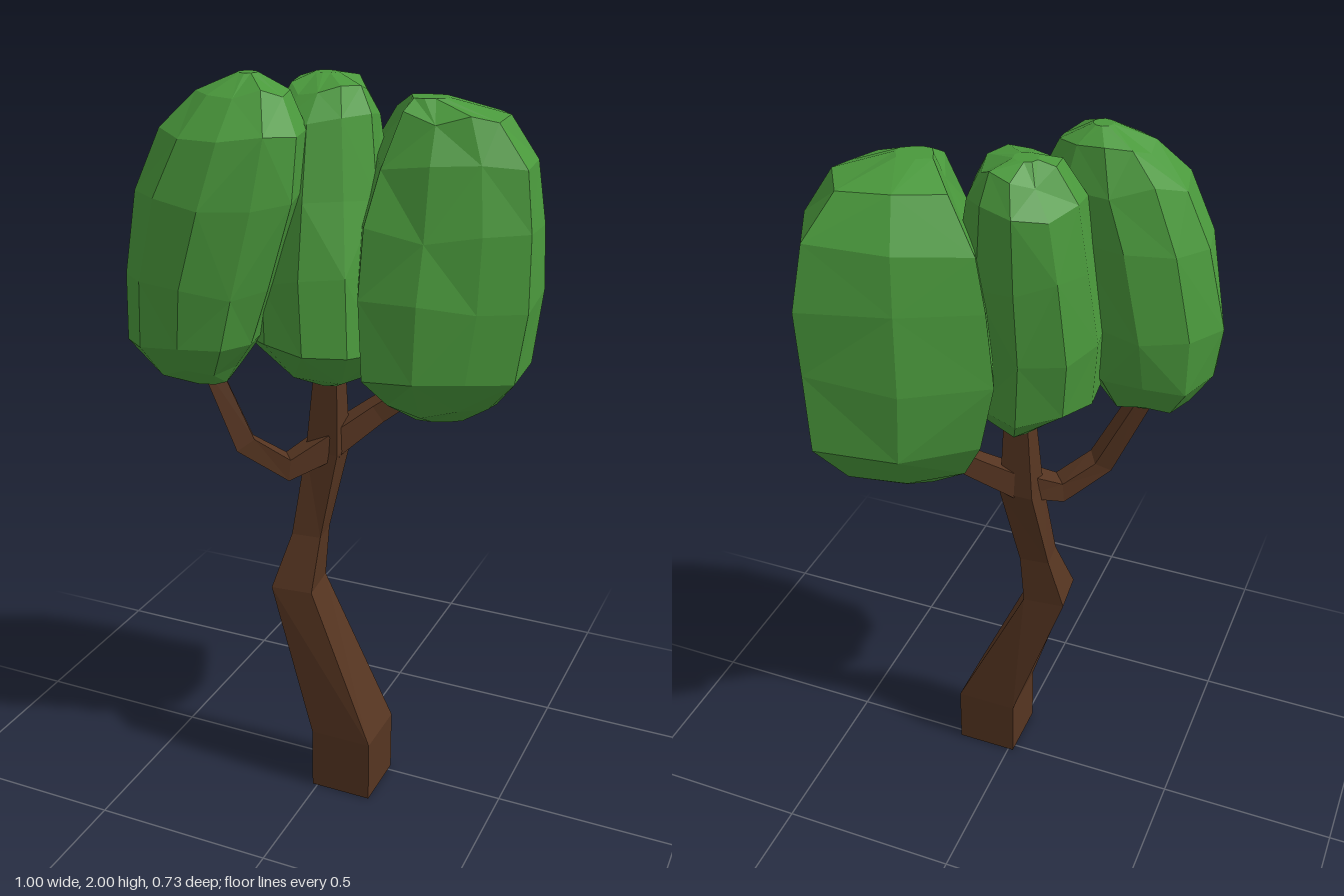
import * as THREE from 'three';

const bark = new THREE.MeshStandardMaterial({ color: 0x563521, flatShading: true });
const leaf = new THREE.MeshStandardMaterial({ color: 0x4a993c, flatShading: true });

// Small seeded generator, returns -1..1
function seeded(seed) {
  let s = seed;
  return () => {
    s = (s * 16807) % 2147483647;
    return (s / 2147483647) * 2 - 1;
  };
}

// Skin a stack of rings (arrays of Vector3) into a closed faceted surface
function skin(name, rings, material) {
  const pos = [];
  const tri = (a, b, c) => [a, b, c].forEach((p) => pos.push(p.x, p.y, p.z));
  const n = rings[0].length;
  const centre = (r) => r.reduce((s, p) => s.add(p), new THREE.Vector3()).divideScalar(n);
  const first = rings[0], last = rings[rings.length - 1];
  const c0 = centre(first), c1 = centre(last);
  for (let j = 0; j < n; j++) {
    const k = (j + 1) % n;
    tri(c0, first[j], first[k]);
    tri(c1, last[k], last[j]);
    for (let i = 0; i < rings.length - 1; i++) {
      const a = rings[i][j], b = rings[i][k], c = rings[i + 1][j], d = rings[i + 1][k];
      if ((i + j) % 2) { tri(a, c, b); tri(b, c, d); }
      else { tri(a, c, d); tri(a, d, b); }
    }
  }
  const geo = new THREE.BufferGeometry();
  geo.setAttribute('position', new THREE.Float32BufferAttribute(pos, 3));
  geo.computeVertexNormals();
  const mesh = new THREE.Mesh(geo, material);
  mesh.name = name;
  return mesh;
}

// Trunk sections: y, centre x, centre z, half width, half depth, twist
function trunk(sections) {
  return skin('trunk', sections.map(([y, cx, cz, hx, hz, twist]) =>
    [[1, -1], [1, 1], [-1, 1], [-1, -1]].map(([sx, sz]) => {
      const x = sx * hx, z = sz * hz, c = Math.cos(twist), s = Math.sin(twist);
      return new THREE.Vector3(cx + x * c + z * s, y, cz - x * s + z * c);
    })), bark);
}

// Square limb following a path of x, y, z, half thickness
function branch(name, path) {
  const pts = path.map(([x, y, z]) => new THREE.Vector3(x, y, z));
  const ref = new THREE.Vector3(0.6, 0, 0.8);
  const rings = pts.map((p, i) => {
    const t = pts[Math.min(i + 1, pts.length - 1)].clone().sub(pts[Math.max(i - 1, 0)]).normalize();
    const v = new THREE.Vector3().crossVectors(ref, t).normalize();
    const u = new THREE.Vector3().crossVectors(t, v);
    const h = path[i][3];
    return [[1, -1], [1, 1], [-1, 1], [-1, -1]].map(([a, b]) =>
      p.clone().addScaledVector(u, a * h).addScaledVector(v, b * h));
  });
  return skin(name, rings, bark);
}

// Leaf clump sections: y, centre x, centre z, radius x, radius z
function clump(name, sections, outline, seed) {
  const rand = seeded(seed);
  const last = sections.length - 1;
  return skin(name, sections.map(([y, cx, cz, rx, rz], i) =>
    outline.map(([ox, oz]) => {
      const r = 1 + rand() * 0.04;
      const dy = i === 0 || i === last ? 0 : rand() * 0.018;
      return new THREE.Vector3(cx + ox * rx * r, y + dy, cz + oz * rz * r);
    })), leaf);
}

export function createModel() {
  const tree = new THREE.Group();
  tree.name = 'tree';

  // Crooked trunk
  tree.add(trunk([
    [0, 0.072, 0.065, 0.087, 0.086, 0],
    [0.18, 0.072, 0.065, 0.087, 0.086, 0],
    [0.61, -0.092, 0.066, 0.058, 0.062, 0.1],
    [0.76, -0.067, 0.038, 0.041, 0.04, 0.1],
    [1.0, -0.03, 0.004, 0.046, 0.043, 0],
    [1.28, -0.022, 0.005, 0.03, 0.027, 0],
  ]));

  // Side limbs carrying the outer clumps
  tree.add(branch('rightBranch', [
    [-0.02, 1.02, 0.01, 0.036], [-0.11, 0.965, 0.09, 0.03],
    [-0.205, 1.04, 0.15, 0.028], [-0.32, 1.29, 0.155, 0.022],
  ]));
  tree.add(branch('leftBranch', [
    [-0.02, 1.02, 0.0, 0.034], [0.08, 1.1, -0.07, 0.028], [0.22, 1.2, -0.14, 0.024],
  ]));

  // Leaf clumps
  const round = Array.from({ length: 10 }, (_, i) => {
    const a = (i / 10) * Math.PI * 2 + 0.15;
    return [Math.cos(a), Math.sin(a)];
  });
  const blocky = [[0.65, -1], [1, -0.2], [1, 0.36], [0.6, 0.7], [0.1, 0.97],
    [-0.45, 1], [-0.7, 0.4], [-1, -0.44], [-0.27, -0.92]];

  tree.add(clump('rightLeaves', [
    [1.23, -0.29, 0.2, 0.07, 0.05],
    [1.27, -0.31, 0.19, 0.12, 0.11],
    [1.35, -0.31, 0.195, 0.175, 0.16],
    [1.5, -0.295, 0.19, 0.203, 0.172],
    [1.72, -0.245, 0.18, 0.215, 0.172],
    [1.87, -0.205, 0.165, 0.18, 0.145],
    [1.96, -0.19, 0.14, 0.115, 0.09],
    [2.0, -0.18, 0.13, 0.025, 0.025],
  ], round, 11));

  tree.add(clump('middleLeaves', [
    [1.2, -0.02, 0.01, 0.05, 0.05],
    [1.24, -0.03, 0.01, 0.11, 0.11],
    [1.32, -0.045, 0.02, 0.185, 0.18],
    [1.5, -0.06, 0.0, 0.185, 0.185],
    [1.7, -0.06, -0.03, 0.165, 0.18],
    [1.88, -0.06, -0.05, 0.135, 0.16],
    [1.95, -0.05, -0.06, 0.09, 0.11],
    [1.98, -0.07, -0.08, 0.03, 0.03],
  ], round, 29));

  tree.add(clump('leftLeaves', [
    [1.09, 0.23, -0.14, 0.08, 0.07],
    [1.15, 0.22, -0.13, 0.17, 0.15],
    [1.25, 0.225, -0.12, 0.24, 0.243],
    [1.45, 0.228, -0.12, 0.268, 0.235],
    [1.63, 0.235, -0.12, 0.262, 0.22],
    [1.78, 0.24, -0.12, 0.23, 0.185],
    [1.9, 0.245, -0.1, 0.15, 0.125],
    [1.94, 0.21, -0.06, 0.05, 0.04],
  ], blocky, 47));

  return tree;
}
